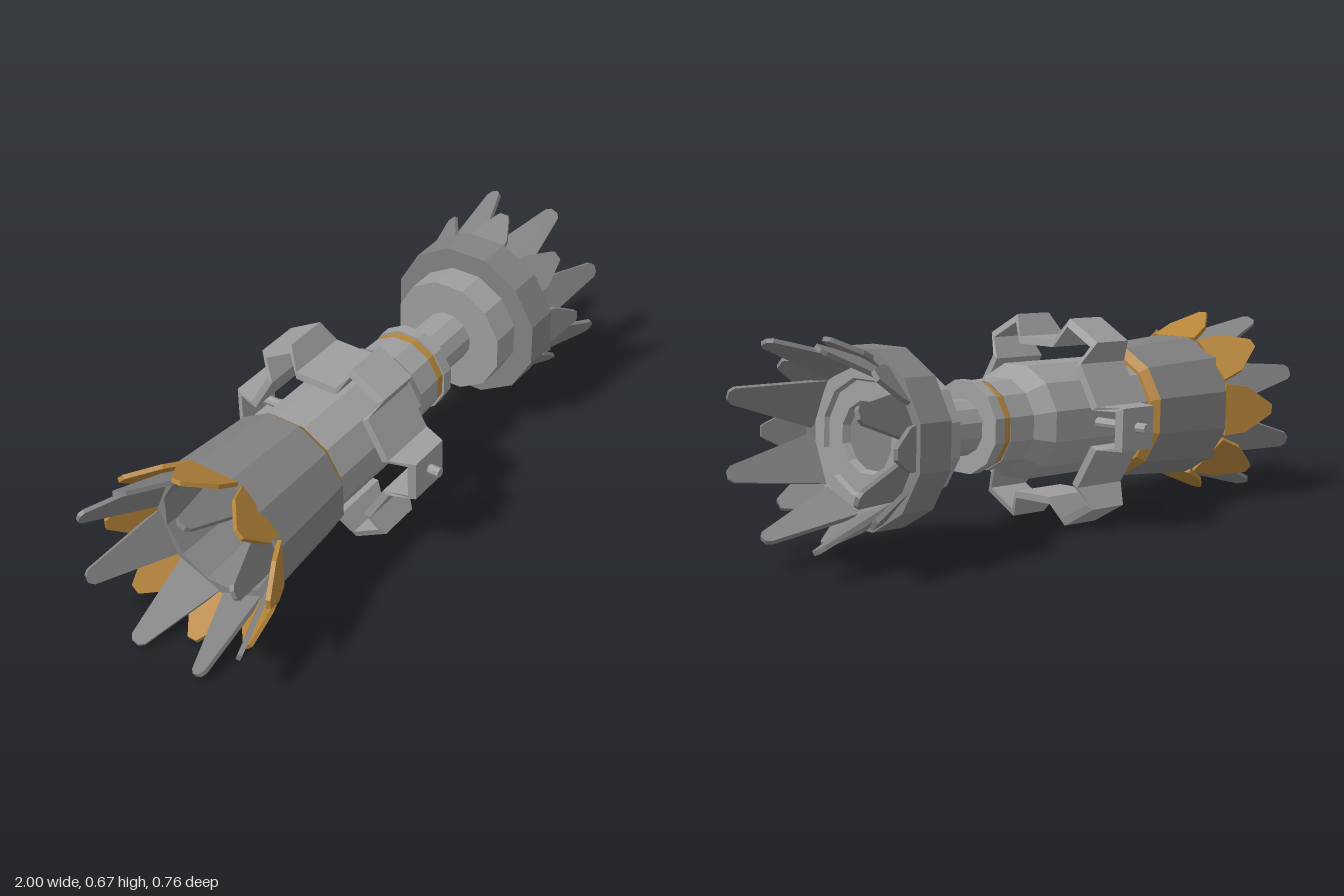
import * as THREE from 'three';

const paint = (color) => new THREE.MeshStandardMaterial({ color, flatShading: true, side: THREE.DoubleSide });
const grey = paint(0x9e9e9e);
const darkGrey = paint(0x828282);
const gold = paint(0xb5843a);

function add(parent, name, geometry, material = grey) {
  const mesh = new THREE.Mesh(geometry, material);
  mesh.name = name;
  parent.add(mesh);
  return mesh;
}

// Twelve-sided turned part along x; profile is [x, apothem] pairs
function turned(profile) {
  const k = 1 / Math.cos(Math.PI / 12);
  const pts = profile.map(([x, r]) => new THREE.Vector2(r * k, x));
  return new THREE.LatheGeometry(pts, 12, Math.PI / 12).rotateZ(-Math.PI / 2);
}

// Flat pointed plate running from (x0, r0) to (x1, r1); outline is [fraction, half width]
function petal(x0, r0, x1, r1, outline, thick) {
  const dx = Math.abs(x1 - x0), len = Math.hypot(dx, r1 - r0);
  const pts = [
    ...outline.map(([u, w]) => new THREE.Vector2(u * len, w)),
    ...outline.map(([u, w]) => new THREE.Vector2(u * len, -w)).reverse(),
  ];
  const g = new THREE.ExtrudeGeometry(new THREE.Shape(pts), { depth: thick, bevelEnabled: false });
  g.translate(0, 0, -thick / 2).rotateX(-Math.PI / 2).rotateZ(Math.atan2(r1 - r0, dx));
  if (x1 < x0) g.rotateY(Math.PI);
  return g.translate(x0, r0, 0);
}

// Eight petals around the axis
function petalRing(parent, name, geometry, material, offset) {
  const ring = new THREE.Group();
  ring.name = name;
  for (let i = 0; i < 8; i++) {
    add(ring, name + 'Petal', geometry, material).rotation.x = offset + i * Math.PI / 4;
  }
  parent.add(ring);
}

// Six-toothed band outline: teeth at radius rOut, links at radius rIn
function bandPoints(rOut, rIn, half) {
  const pts = [];
  for (let i = 0; i < 6; i++) {
    const a = i * Math.PI / 3, c = Math.cos(a), s = Math.sin(a);
    for (const [r, t] of [[rIn, -half], [rOut, -half], [rOut, half], [rIn, half]]) {
      pts.push(new THREE.Vector2(r * c - t * s, r * s + t * c));
    }
  }
  return pts;
}

export function createModel() {
  const model = new THREE.Group();
  model.name = 'model';
  const axis = new THREE.Group();
  axis.name = 'tiltedAssembly';
  axis.position.y = 0.344;
  axis.rotation.z = 0.033;
  model.add(axis);

  // Hollow rear barrel with a recessed gold ring at its inner end
  add(axis, 'rearBarrel', turned([[-0.5, 0], [-0.5, 0.175], [-0.725, 0.195], [-0.725, 0.235], [-0.385, 0.213]]), darkGrey);
  add(axis, 'rearGoldRing', turned([[-0.385, 0.213], [-0.36, 0.19], [-0.36, 0.175]]), gold);

  // Middle body, stepped neck and shaft
  add(axis, 'middleBody', turned([[-0.365, 0.18], [0.08, 0.18], [0.14, 0.14], [0.24, 0.137]]));
  add(axis, 'neckGoldRing', turned([[0.24, 0.1], [0.24, 0.135], [0.27, 0.135], [0.27, 0.1]]), gold);
  add(axis, 'neckCollar', turned([[0.27, 0.1], [0.27, 0.142], [0.31, 0.142], [0.31, 0.08]]));
  add(axis, 'shaft', turned([[0.3, 0.085], [0.52, 0.085]]));

  // Front head: hub, dark rim and stepped recess
  add(axis, 'headHub', turned([[0.51, 0], [0.51, 0.195], [0.615, 0.195]]));
  add(axis, 'headRim', turned([[0.615, 0.19], [0.615, 0.265], [0.735, 0.265], [0.735, 0.235], [0.715, 0.212]]), darkGrey);
  add(axis, 'headRecess', turned([
    [0.715, 0.212], [0.715, 0.172], [0.7, 0.165], [0.7, 0.106], [0.675, 0.098],
  ]));
  add(axis, 'headCore', turned([[0.675, 0.098], [0.675, 0]]), darkGrey);

  // Toothed band around the body, narrowing towards the tooth tops
  const band = new THREE.Shape(bandPoints(0.343, 0.264, 0.0675));
  band.holes.push(new THREE.Path(bandPoints(0.32, 0.244, 0.056)));
  const bandGeo = new THREE.ExtrudeGeometry(band, { depth: 2, bevelEnabled: false });
  bandGeo.translate(0, 0, -1).rotateY(Math.PI / 2);
  const p = bandGeo.attributes.position;
  for (let i = 0; i < p.count; i++) {
    const r = Math.hypot(p.getY(i), p.getZ(i));
    const half = THREE.MathUtils.mapLinear(r, 0.265, 0.35, 0.107, 0.073);
    p.setX(i, p.getX(i) * Math.min(half, 0.107));
  }
  add(axis, 'toothedBand', bandGeo).position.set(-0.117, -0.004, 0);

  // Side pins
  for (const s of [-1, 1]) {
    const pin = add(axis, 'sidePin', new THREE.CylinderGeometry(0.016, 0.016, 0.22, 8).rotateX(Math.PI / 2));
    pin.position.set(-0.115, 0, s * 0.272);
  }

  // Long and short petals at both ends
  const long = [[0, 0.08], [0.95, 0.026], [1, 0.013]];
  const short = [[0, 0.068], [0.45, 0.064], [0.95, 0.022], [1, 0.016]];
  const broad = [[0, 0.088], [0.45, 0.078], [0.95, 0.022], [1, 0.016]];
  petalRing(axis, 'frontLong', petal(0.715, 0.212, 0.985, 0.307, long, 0.014), darkGrey, Math.PI / 8);
  petalRing(axis, 'frontShort', petal(0.7, 0.225, 0.855, 0.295, short, 0.014), darkGrey, 0);
  petalRing(axis, 'rearLong', petal(-0.715, 0.212, -0.99, 0.31, long, 0.014), darkGrey, Math.PI / 8);
  petalRing(axis, 'rearGold', petal(-0.712, 0.228, -0.87, 0.305, broad, 0.014), gold, 0);

  return model;
}
